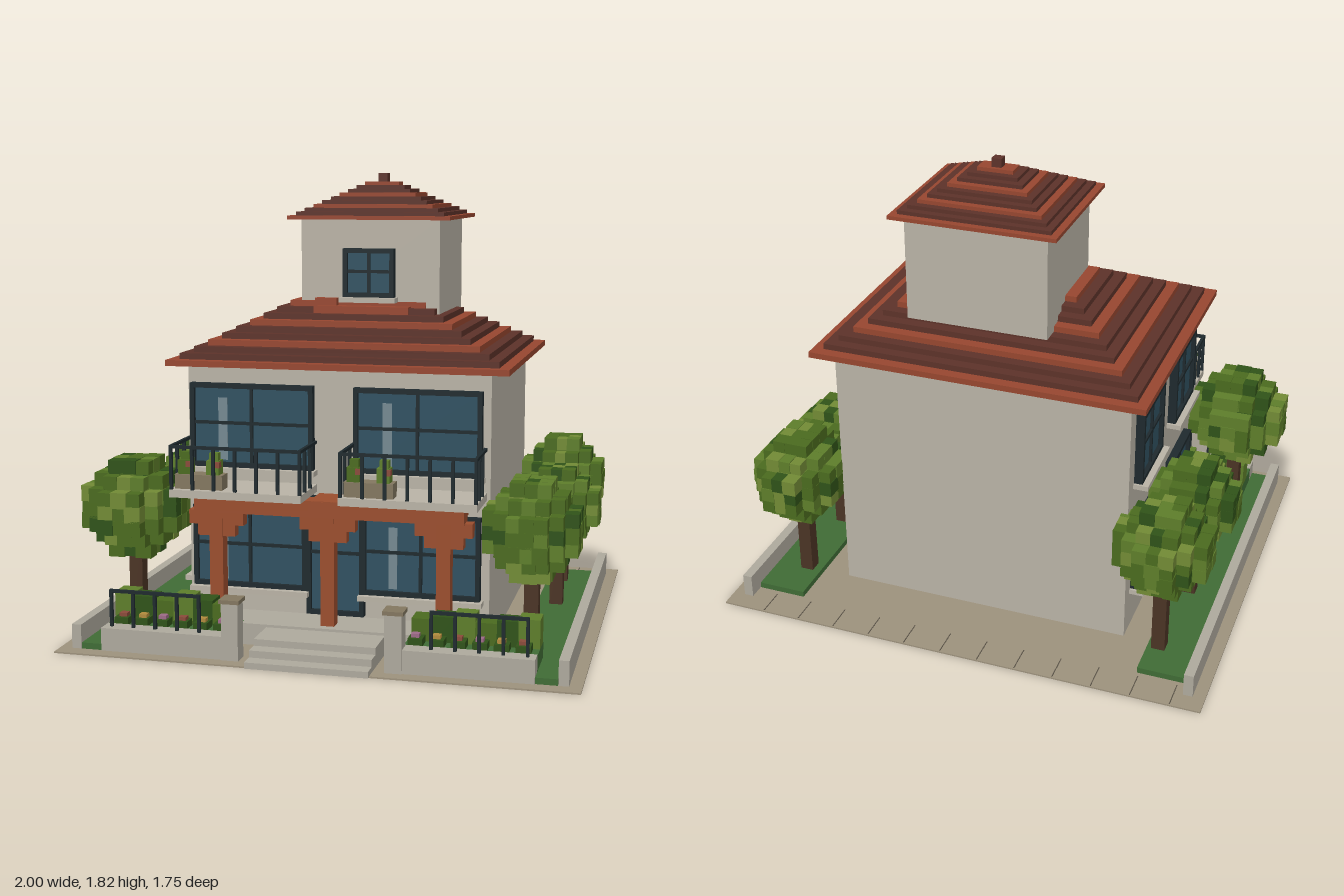
import * as THREE from 'three';
import { mergeGeometries } from 'three/addons/utils/BufferGeometryUtils.js';

const C = {
  wall: 0xb8b2a5, stone: 0xada89c, paving: 0x9c917c, frame: 0x1e292d, glass: 0x2f5060, glint: 0x748890,
  tile: 0x96462f, tileDark: 0x5c3229, timber: 0x9a4d2d, trunk: 0x4a3324, lawn: 0x3f6b35, joint: 0x5a5347,
  planter: 0x82765f, leaves: [0x4a6a1e, 0x5d7d2a, 0x2f5218, 0x718a35],
};
const mats = {};
const mat = (c) => (mats[c] ??= new THREE.MeshStandardMaterial({ color: c, flatShading: true }));

// box from its limits: [x0, x1, y0, y1, z0, z1]
function boxGeo([x0, x1, y0, y1, z0, z1]) {
  return new THREE.BoxGeometry(x1 - x0, y1 - y0, z1 - z0).translate((x0 + x1) / 2, (y0 + y1) / 2, (z0 + z1) / 2);
}
function part(parent, name, color, boxes) {
  const mesh = new THREE.Mesh(mergeGeometries(boxes.map(boxGeo)), mat(color));
  mesh.name = name;
  parent.add(mesh);
}
function group(parent, name) {
  const g = new THREE.Group();
  g.name = name;
  parent.add(g);
  return g;
}
const mirror = ([x0, x1, ...r]) => [-x1, -x0, ...r];
const both = (boxes) => boxes.concat(boxes.map(mirror));

// stepped hip roof, shrinking by one inset per layer
function steppedRoof(parent, name, cx, cz, hx, hz, y, h, inset, n) {
  const g = group(parent, name);
  const layers = [[], []];
  for (let i = 0; i < n; i++) {
    const a = hx - inset * i, b = hz - inset * i;
    layers[i % 3 === 0 ? 0 : 1].push([cx - a, cx + a, y + h * i, y + h * (i + 1), cz - b, cz + b]);
  }
  part(g, name + 'Tiles', C.tile, layers[0]);
  part(g, name + 'DarkTiles', C.tileDark, layers[1]);
}

// two by two pane window, facing +z with its back on z = 0
function windowUnit(parent, name, w, h, { sill = true, glint = false } = {}) {
  const g = group(parent, name), a = w / 2, m = h * 0.53, t = 0.018, d = 0.035;
  part(g, name + 'Frame', C.frame, [
    [-a, -a + t, 0, h, 0, d], [a - t, a, 0, h, 0, d], [-a, a, 0, t, 0, d], [-a, a, h - t, h, 0, d],
    [-t / 3, t / 3, 0, h, 0, d * 0.8], [-a, a, m - t / 3, m + t / 3, 0, d * 0.8],
  ]);
  part(g, name + 'Glass', C.glass, [[-a + t / 2, a - t / 2, t / 2, h - t / 2, 0, d * 0.5]]);
  if (glint) part(g, name + 'Glint', C.glint, [[-a * 0.55, -a * 0.4, h * 0.08, h * 0.83, d * 0.4, d * 0.55]]);
  if (sill) part(g, name + 'Sill', C.wall, [[-a - 0.01, a + 0.01, -0.02, 0, 0, d + 0.025]]);
  return g;
}

// railing along x with evenly spaced bars
function railBars(x0, x1, y0, y1, z, n, t = 0.012) {
  const out = [[x0, x1, y1 - t, y1, z - t / 2, z + t / 2]];
  for (let i = 0; i < n; i++) {
    const x = x0 + t / 2 + ((x1 - x0 - t) * i) / (n - 1);
    out.push([x - t / 2, x + t / 2, y0, y1, z - t / 2, z + t / 2]);
  }
  return out;
}

// tree with a blocky round crown, seven cells across; size is the crown's extent
function tree(parent, center, size, seed) {
  const g = group(parent, 'tree'), [x, y, z] = center;
  part(g, 'trunk', C.trunk, [[x - 0.027, x + 0.027, 0.01, y - size[1] * 0.3, z - 0.027, z + 0.027]]);
  const cells = [[], [], [], []];
  let r = seed;
  for (let i = -3; i <= 3; i++) for (let j = -3; j <= 3; j++) for (let k = -3; k <= 3; k++) {
    const d = i * i + j * j + k * k;
    if (d < 5 || d > 11) continue;
    r = (r * 1103 + 377) % 10007;
    const e = 0.5 + (r % 5) * 0.02;
    cells[[0, 1, 0, 2, 1, 0, 3][(r >> 3) % 7]].push(
      [i, j, k].flatMap((v, n) => [center[n] + ((v - e) * size[n]) / 7, center[n] + ((v + e) * size[n]) / 7]));
  }
  cells.forEach((c, i) => part(g, 'crownLeaves' + i, C.leaves[i], c));
}

export function createModel() {
  const model = new THREE.Group();
  model.name = 'house';

  // ground
  const ground = group(model, 'ground');
  part(ground, 'paving', C.paving, [[-1, 1, 0, 0.006, -0.88, 0.86]]);
  const joints = [];
  for (let x = -0.88; x < 0.9; x += 0.155) joints.push([x - 0.002, x + 0.002, 0.005, 0.007, -0.875, -0.76]);
  part(ground, 'pavingJoints', C.joint, joints);
  part(ground, 'lawns', C.lawn, both([[0.715, 0.912, 0.005, 0.03, -0.74, 0.8]]));
  part(ground, 'sideWalls', C.stone, both([[0.914, 0.952, 0.005, 0.1, -0.805, 0.8]]));

  // porch, steps and front garden
  const garden = group(model, 'frontGarden');
  part(garden, 'porch', C.stone, [[-0.6, 0.6, 0.005, 0.09, 0.41, 0.6]]);
  part(garden, 'steps', C.stone, [
    [-0.235, 0.235, 0.003, 0.027, 0.6, 0.875], [-0.235, 0.235, 0.02, 0.054, 0.6, 0.815], [-0.235, 0.235, 0.05, 0.08, 0.6, 0.755],
  ]);
  part(garden, 'frontWalls', C.stone, both([[0.3, 0.83, 0.005, 0.095, 0.735, 0.805]]));
  part(garden, 'beds', C.lawn, both([[0.335, 0.83, 0.005, 0.09, 0.56, 0.735]]));
  part(garden, 'gatePosts', C.stone, both([[0.28, 0.345, 0.005, 0.225, 0.745, 0.81]]));
  part(garden, 'postCaps', C.planter, both([[0.273, 0.352, 0.225, 0.24, 0.738, 0.817]]));
  part(garden, 'gardenRails', C.frame, both(railBars(0.44, 0.805, 0.095, 0.24, 0.77, 5)));
  const hedge = [[], [], []], blooms = [[], [], []];
  for (let i = 0; i < 6; i++) {
    const x = 0.35 + i * 0.08;
    hedge[(i * 2) % 3].push([x, x + 0.08, 0.09, 0.175 + (i % 3) * 0.012, 0.57, 0.66]);
    blooms[i % 3].push([x + 0.01, x + 0.04, 0.115, 0.132, 0.685, 0.715]);
    hedge[2].push([x, x + 0.055, 0.09, 0.118, 0.67, 0.73]);
  }
  hedge.forEach((b, i) => part(garden, 'hedge' + i, C.leaves[i], both(b)));
  blooms.forEach((b, i) => part(garden, 'flowers' + i, [0x9c6a86, 0xb08a3c, 0x8a4a3a][i], both(b)));

  // main body and tower
  part(model, 'mainWalls', C.wall, [[-0.603, 0.603, 0.004, 1.07, -0.54, 0.415]]);
  part(model, 'towerWalls', C.wall, [[-0.235, 0.335, 1.21, 1.635, -0.43, 0.07]]);
  steppedRoof(model, 'mainRoof', 0, -0.07, 0.677, 0.545, 1.067, 0.0235, 0.044, 10);
  part(model, 'dormerTiles', C.tile, [[-0.17, 0.22, 1.25, 1.285, 0.06, 0.13], [-0.17, -0.08, 1.285, 1.315, 0.06, 0.11]]);
  steppedRoof(model, 'towerRoof', 0.05, -0.18, 0.333, 0.297, 1.63, 0.015, 0.029, 10);
  part(model, 'finial', C.tileDark, [[0.03, 0.07, 1.775, 1.815, -0.2, -0.16]]);

  // windows and door
  const windows = group(model, 'windows');
  windowUnit(windows, 'towerWindow', 0.21, 0.195).position.set(0.05, 1.32, 0.07);
  for (const [x, lx] of [[-0.338, -0.348], [0.323, 0.338]]) {
    windowUnit(windows, 'balconyWindow', 0.5, 0.33, { glint: true }).position.set(x, 0.67, 0.413);
    windowUnit(windows, 'groundWindow', 0.465, 0.325, { glint: true }).position.set(lx, 0.19, 0.413);
  }
  windowUnit(windows, 'frontDoor', 0.23, 0.47, { sill: false }).position.set(0, 0.1, 0.415);
  for (const z of [-0.32, 0.17]) for (const y of [0.19, 0.68]) {
    const w = windowUnit(windows, 'sideWindow', 0.3, 0.3);
    w.position.set(-0.602, y, z);
    w.rotation.y = -Math.PI / 2;
  }

  // timber porch frame: beam, posts, stepped brackets and joists
  const frame = group(model, 'porchFrame');
  part(frame, 'beam', C.timber, [[-0.53, 0.53, 0.515, 0.58, 0.5, 0.575]]);
  for (const x of [-0.445, 0, 0.45]) {
    part(frame, 'post', C.timber, [
      [x - 0.027, x + 0.027, 0.09, 0.52, 0.51, 0.565],
      [x - 0.11, x + 0.11, 0.465, 0.52, 0.513, 0.562],
      [x - 0.075, x + 0.075, 0.42, 0.465, 0.515, 0.56],
      [x - 0.07, x + 0.07, 0.525, 0.578, 0.415, 0.577],
    ]);
  }

  // balconies with railings and planters
  for (const [x0, x1] of [[-0.603, -0.08], [0.065, 0.59]]) {
    const b = group(model, 'balcony'), t = 0.012;
    part(b, 'balconyFloor', C.wall, [[x0, x1, 0.583, 0.613, 0.413, 0.65]]);
    const rails = railBars(x0, x1, 0.61, 0.785, 0.64, 7);
    for (const x of [x0, x1 - t]) {
      rails.push([x, x + t, 0.773, 0.785, 0.415, 0.645]);
      for (const z of [0.49, 0.565]) rails.push([x, x + t, 0.61, 0.785, z, z + t]);
    }
    part(b, 'balconyRail', C.frame, rails);
    part(b, 'planter', C.planter, [[x0 + 0.015, x0 + 0.205, 0.613, 0.67, 0.558, 0.625]]);
    [0.05, 0.165].forEach((dx, i) => {
      const x = x0 + dx;
      part(b, 'plant', C.leaves[i], [[x - 0.025, x + 0.025, 0.67, 0.725, 0.565, 0.618], [x - 0.015, x + 0.02, 0.725, 0.755, 0.58, 0.61]]);
      part(b, 'bloom', 0x8a4a3a, [[x + 0.01, x + 0.03, 0.7, 0.722, 0.6, 0.625]]);
    });
  }

  // trees: crown centre and crown size
  [
    [[-0.8, 0.51, 0.49], [0.39, 0.38, 0.38]],
    [[-0.78, 0.47, -0.18], [0.34, 0.34, 0.38]],
    [[-0.76, 0.5, -0.58], [0.36, 0.36, 0.36]],
    [[0.78, 0.505, 0.52], [0.35, 0.37, 0.4]],
    [[0.795, 0.45, -0.185], [0.34, 0.32, 0.38]],
    [[0.775, 0.495, -0.56], [0.34, 0.36, 0.41]],
  ].forEach(([center, size], i) => tree(model, center, size, 17 + i * 31));

  return model;
}
